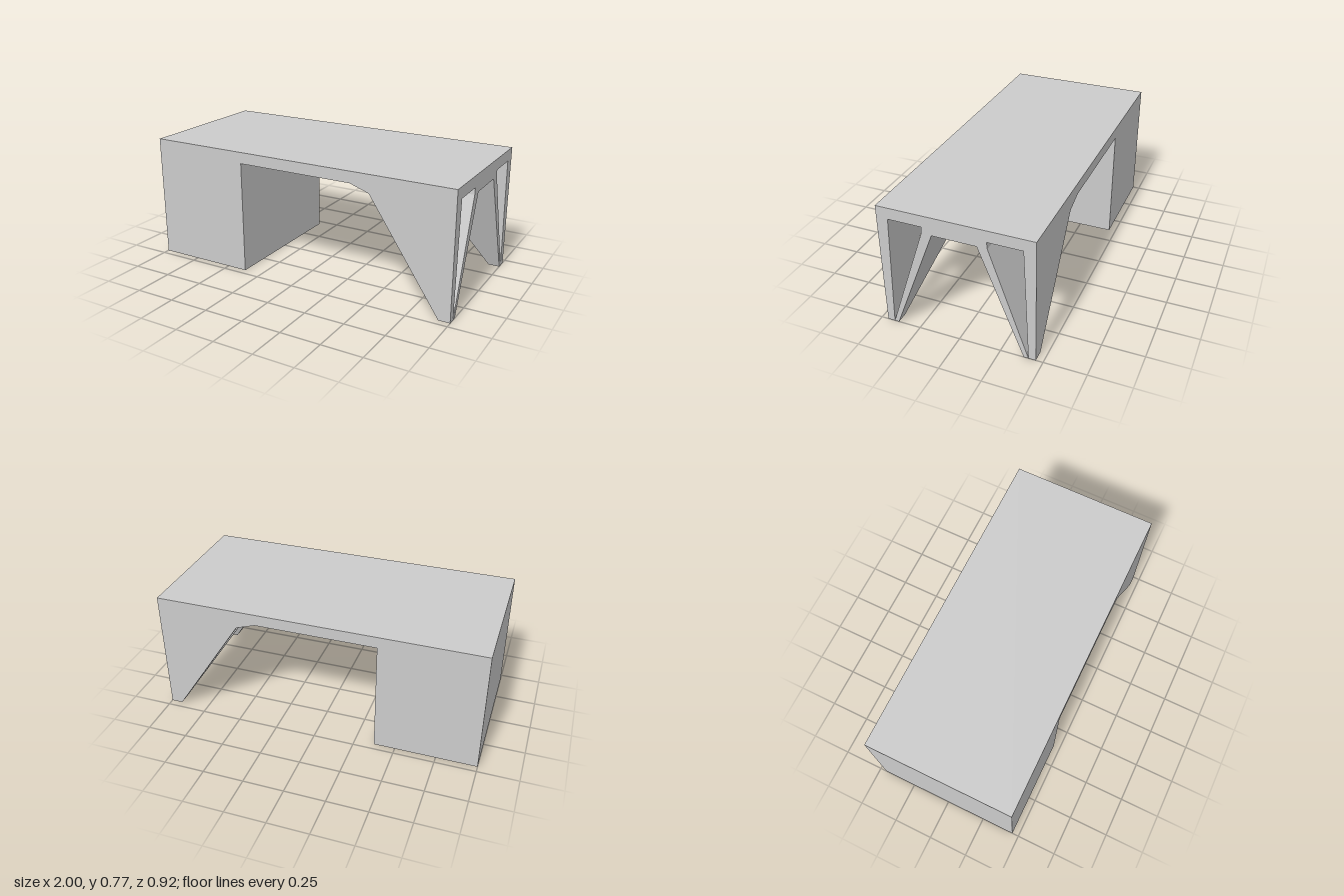
import * as THREE from 'three';

const HALF_DEPTH = 0.458, UNDERSIDE = 0.70, TOP = 0.77, BRACE = 0.66;

const material = new THREE.MeshStandardMaterial({ color: 0xcccccc, flatShading: true });

function box(name, x0, x1, y0, y1) {
  const geometry = new THREE.BoxGeometry(x1 - x0, y1 - y0, HALF_DEPTH * 2);
  geometry.translate((x0 + x1) / 2, (y0 + y1) / 2, 0);
  const mesh = new THREE.Mesh(geometry, material);
  mesh.name = name;
  return mesh;
}

// Slanted block ending at x = 1; each level gives its height, inner x and z range
function block(name, low, high) {
  const geometry = new THREE.BoxGeometry(1, 1, 1);
  const p = geometry.attributes.position;
  for (let i = 0; i < p.count; i++) {
    const level = p.getY(i) < 0 ? low : high;
    p.setXYZ(i, p.getX(i) < 0 ? level.x : 1, level.y, p.getZ(i) < 0 ? level.z[0] : level.z[1]);
  }
  geometry.computeVertexNormals();
  const mesh = new THREE.Mesh(geometry, material);
  mesh.name = name;
  return mesh;
}

export function createModel() {
  const desk = new THREE.Group();
  desk.name = 'desk';

  desk.add(box('desktop', -1, 1, UNDERSIDE, TOP));
  desk.add(box('cabinet', -1, -0.37, 0, UNDERSIDE));

  // Three heights of the leg frame: foot, bend and underside of the desktop
  const foot = (z) => ({ y: 0, x: 0.93, z });
  const bend = (z) => ({ y: BRACE, x: 0.49, z });
  const head = (z) => ({ y: UNDERSIDE, x: 0.37, z });

  desk.add(block('legBrace', bend([-0.19, 0.19]), head([-0.187, 0.187])));

  // Each leg is an open V: an upright outer panel and a leaning inner strut
  for (const side of [1, -1]) {
    const leg = new THREE.Group();
    leg.name = side > 0 ? 'frontLeg' : 'backLeg';
    const span = (a, b) => (side > 0 ? [a, b] : [-b, -a]);
    leg.add(
      block('outerPanel', foot(span(0.415, HALF_DEPTH)), bend(span(0.39, HALF_DEPTH))),
      block('outerPanelHead', bend(span(0.39, HALF_DEPTH)), head(span(0.388, HALF_DEPTH))),
      block('innerStrut', foot(span(0.388, 0.415)), bend(span(0.13, 0.19))),
    );
    desk.add(leg);
  }
  return desk;
}
